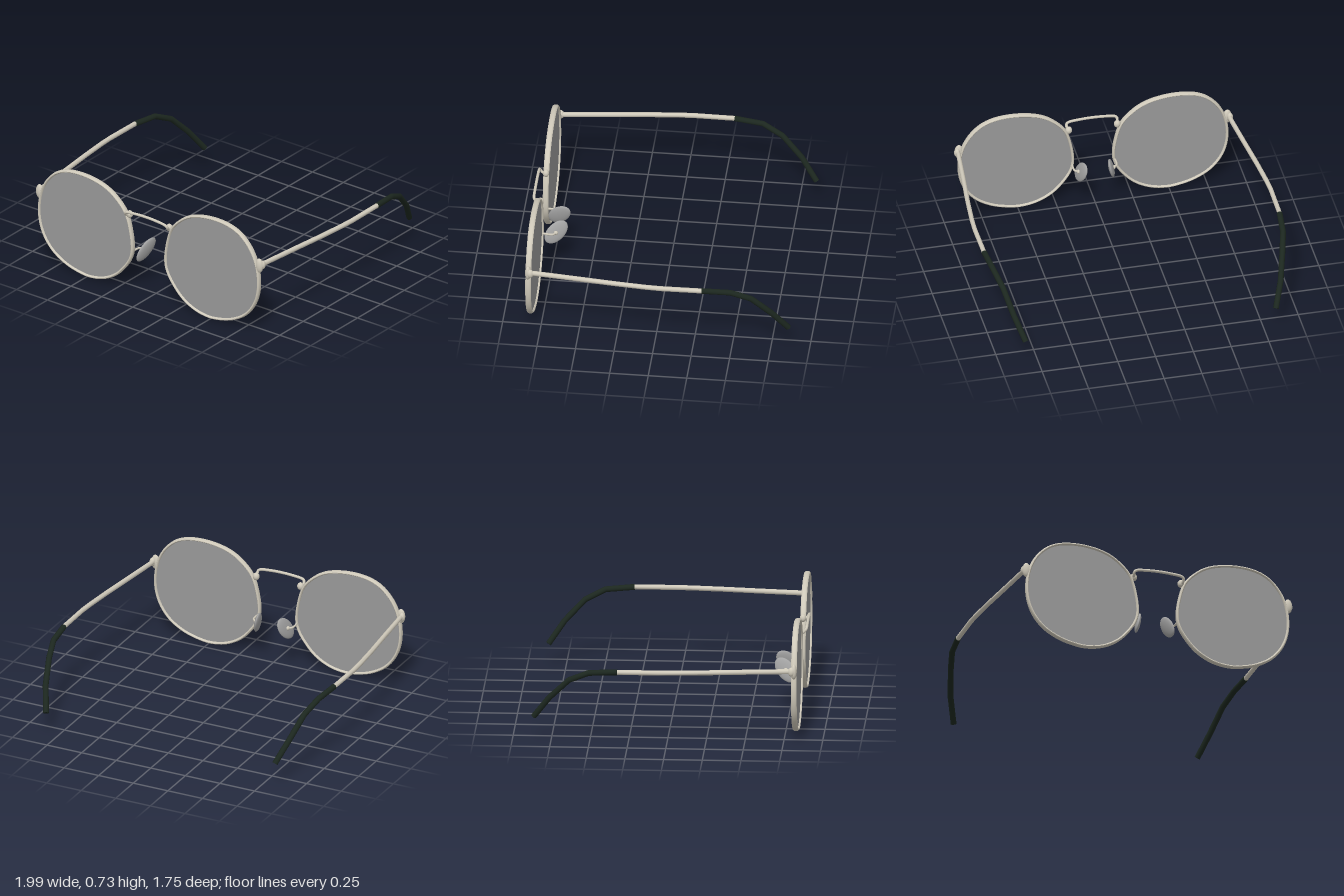
import * as THREE from 'three';
import { toCreasedNormals, mergeVertices } from 'three/addons/utils/BufferGeometryUtils.js';

const V = (x, y, z) => new THREE.Vector3(x, y, z);
const flat = (name, hex) => new THREE.MeshStandardMaterial({ name, color: hex });

// Sweep an elliptical section along points; a is the half width, b the half height toward ref
function sweep(pts, a, b, ref, sides = 12, closed = false) {
  const n = pts.length, pos = [], idx = [];
  pts.forEach((p, i) => {
    const prev = closed ? pts[(i + n - 1) % n] : pts[Math.max(i - 1, 0)];
    const next = closed ? pts[(i + 1) % n] : pts[Math.min(i + 1, n - 1)];
    const t = V(0, 0, 0);
    if (prev !== p) t.add(p.clone().sub(prev).normalize());
    if (next !== p) t.add(next.clone().sub(p).normalize());
    t.normalize();
    const side = t.clone().cross(ref).normalize();
    const up = side.clone().cross(t);
    for (let j = 0; j < sides; j++) {
      const k = (j / sides) * Math.PI * 2;
      const q = p.clone().addScaledVector(side, Math.cos(k) * a).addScaledVector(up, Math.sin(k) * b);
      pos.push(q.x, q.y, q.z);
    }
  });
  for (let i = 0; i < (closed ? n : n - 1); i++) {
    for (let j = 0; j < sides; j++) {
      const i2 = (i + 1) % n, j2 = (j + 1) % sides;
      const A = i * sides + j, B = i * sides + j2, C = i2 * sides + j, D = i2 * sides + j2;
      idx.push(A, C, B, B, C, D);
    }
  }
  if (!closed) {
    const e = (n - 1) * sides;
    for (let j = 1; j < sides - 1; j++) idx.push(0, j, j + 1, e, e + j + 1, e + j);
  }
  const g = new THREE.BufferGeometry();
  g.setAttribute('position', new THREE.Float32BufferAttribute(pos, 3));
  g.setIndex(idx);
  return toCreasedNormals(g, 0.7);
}

// Mirror a geometry to the other side, keeping its faces outward
function mirrored(geo) {
  const g = geo.index ? geo.clone() : mergeVertices(geo);
  g.scale(-1, 1, 1);
  const ix = g.index.array;
  for (let i = 0; i < ix.length; i += 3) [ix[i], ix[i + 1]] = [ix[i + 1], ix[i]];
  return g;
}

const ball = (x, y, z, rx, ry, rz) =>
  new THREE.SphereGeometry(1, 24, 16).scale(rx, ry, rz).translate(x, y, z);

export function createModel() {
  const root = new THREE.Group();
  root.name = 'spectacles';
  const metal = flat('pale metal', 0xcfc9ba);
  const glass = flat('grey lens', 0x999999);
  const padGrey = flat('pad grey', 0xa3a3a3);
  const dark = flat('dark tip', 0x1c271f);

  const add = (name, geo, mat) => {
    const m = new THREE.Mesh(geo, mat);
    m.name = name;
    root.add(m);
  };
  const pair = (name, geo, mat) => {
    add(name + 'Left', geo, mat);
    add(name + 'Right', mirrored(geo), mat);
  };

  // Rim outline, counted round from the nose side
  const Z = 0.82;
  const outline = [
    [0.125, 0.31], [0.137, 0.43], [0.18, 0.565], [0.265, 0.655], [0.34, 0.7], [0.435, 0.727],
    [0.55, 0.737], [0.66, 0.725], [0.745, 0.69], [0.82, 0.62], [0.87, 0.53], [0.895, 0.41],
    [0.888, 0.29], [0.85, 0.19], [0.78, 0.105], [0.68, 0.045], [0.585, 0.016], [0.485, 0.004],
    [0.37, 0.024], [0.265, 0.08], [0.185, 0.165], [0.14, 0.24],
  ].map(([x, y]) => V(0.51 + (x - 0.51) * 0.973, 0.37 + (y - 0.37) * 0.973, Z));
  const loop = new THREE.CatmullRomCurve3(outline, true).getPoints(88).slice(0, -1);
  pair('rim', sweep(loop, 0.01, 0.019, V(0, 0, 1), 14, true), metal);

  // Lens filling the rim
  const lens = new THREE.ExtrudeGeometry(
    new THREE.Shape(loop.map((p) => new THREE.Vector2(p.x, p.y))),
    { depth: 0.014, bevelEnabled: false });
  lens.translate(0, 0, Z - 0.007);
  pair('lens', lens, glass);

  // Bridge with hooked ends and its mounts on the rims
  const half = [[0.162, 0.55, 0.825], [0.166, 0.556, 0.842], [0.167, 0.575, 0.858],
    [0.155, 0.586, 0.862], [0.08, 0.596, 0.863]];
  const bridge = [
    ...half.map(([x, y, z]) => V(-x, y, z)), V(0, 0.599, 0.863),
    ...half.slice().reverse().map(([x, y, z]) => V(x, y, z)),
  ];
  add('bridge', new THREE.TubeGeometry(new THREE.CatmullRomCurve3(bridge), 60, 0.0095, 10), metal);
  pair('bridgeMount', ball(0.16, 0.555, 0.82, 0.022, 0.026, 0.021), metal);

  // End piece and hinge
  pair('endPiece', ball(0.888, 0.5, Z, 0.028, 0.05, 0.02), metal);
  pair('hinge', ball(0.902, 0.503, 0.805, 0.02, 0.03, 0.022), metal);

  // Temple arm and its bent ear tip
  const arm = [[0.9, 0.8], [0.899, 0.78], [0.929, 0.5], [0.957, 0.25], [0.975, 0.05], [0.98, -0.05],
    [0.977, -0.32]].map(([x, z]) => V(x, 0.505, z));
  pair('templeArm', sweep(arm, 0.015, 0.017, V(0, 1, 0)), metal);
  const tip = [V(0.977, 0.505, -0.315), V(0.957, 0.492, -0.5), V(0.923, 0.432, -0.63),
    V(0.882, 0.3, -0.76), V(0.827, 0.158, -0.862)];
  pair('earTip', sweep(tip, 0.019, 0.019, V(0, 1, 0), 10), dark);

  // Nose pad: a thin tilted oval, with its wire arm and stud
  const major = V(-0.27, 0.74, -0.64).normalize();
  const minor = V(1, 0, 0).cross(major).normalize();
  const out = major.clone().cross(minor).normalize();
  const place = new THREE.Matrix4().makeBasis(major, minor, out).setPosition(0.1, 0.28, 0.725);
  pair('nosePad', new THREE.SphereGeometry(1, 28, 18).scale(0.094, 0.058, 0.017).applyMatrix4(place), padGrey);
  pair('padStud', ball(0.117, 0.285, 0.725, 0.012, 0.014, 0.014), metal);
  const wire = new THREE.CatmullRomCurve3([V(0.138, 0.29, 0.818), V(0.143, 0.288, 0.775),
    V(0.138, 0.286, 0.74), V(0.112, 0.285, 0.725)]);
  pair('padArm', new THREE.TubeGeometry(wire, 20, 0.007, 8), metal);

  return root;
}
